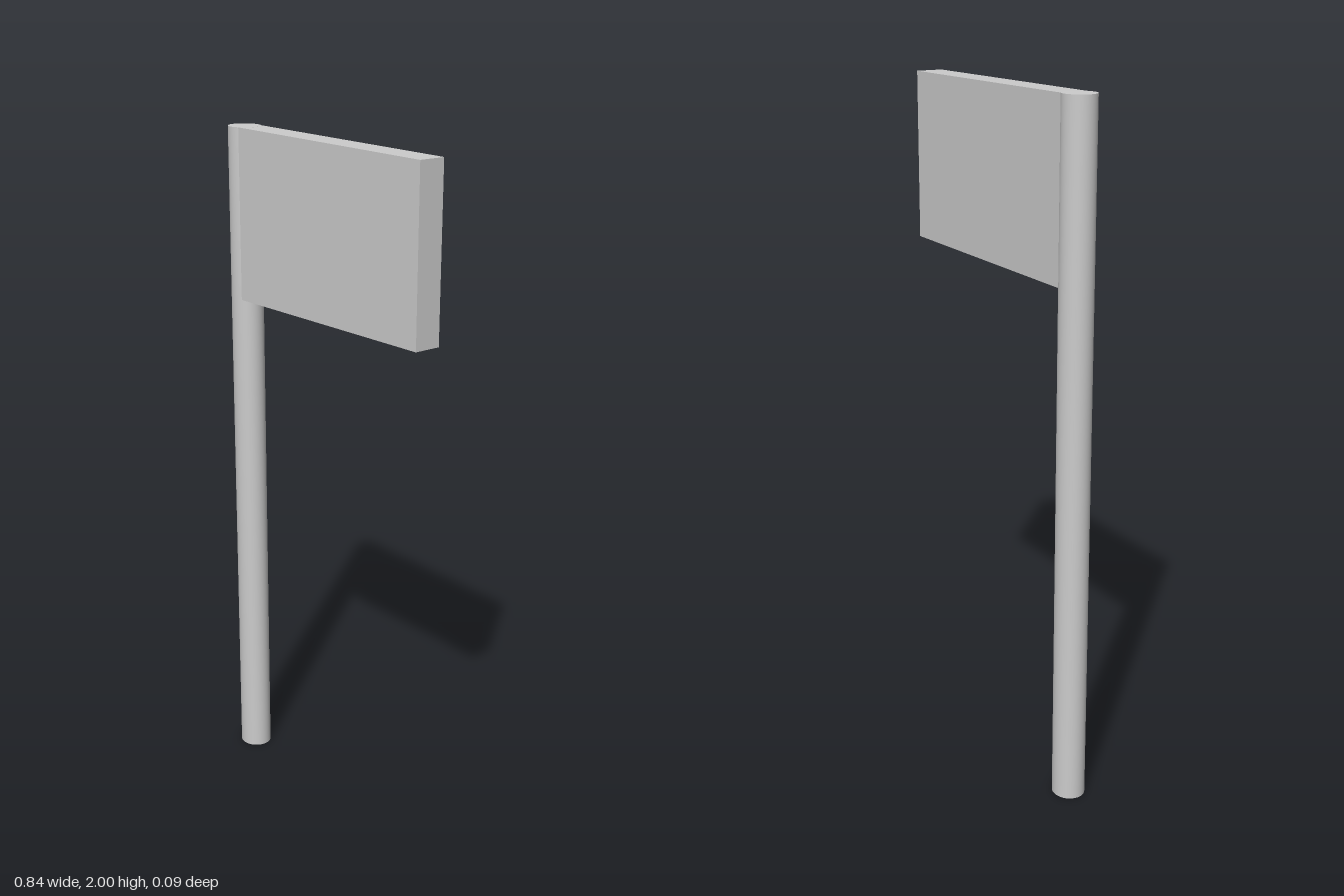
import * as THREE from 'three';

export function createModel() {
  const group = new THREE.Group();
  const material = new THREE.MeshStandardMaterial({ color: 0xcccccc });

  // Upright pole, slightly oval in section
  const poleGeometry = new THREE.CylinderGeometry(0.05, 0.05, 2, 40);
  poleGeometry.scale(1, 1, 0.93);
  const pole = new THREE.Mesh(poleGeometry, material);
  pole.name = 'pole';
  pole.position.set(-0.37, 1, 0);
  group.add(pole);

  // Thick flag panel, its top and bottom edges narrowing a touch to the free end
  const outline = new THREE.Shape([
    new THREE.Vector2(-0.36, 1.502),
    new THREE.Vector2(0.42, 1.508),
    new THREE.Vector2(0.42, 1.995),
    new THREE.Vector2(-0.36, 2),
  ]);
  const flagGeometry = new THREE.ExtrudeGeometry(outline, { depth: 0.08, bevelEnabled: false });
  flagGeometry.translate(0, 0, -0.04);
  const flag = new THREE.Mesh(flagGeometry, material);
  flag.name = 'flag';
  group.add(flag);

  return group;
}
